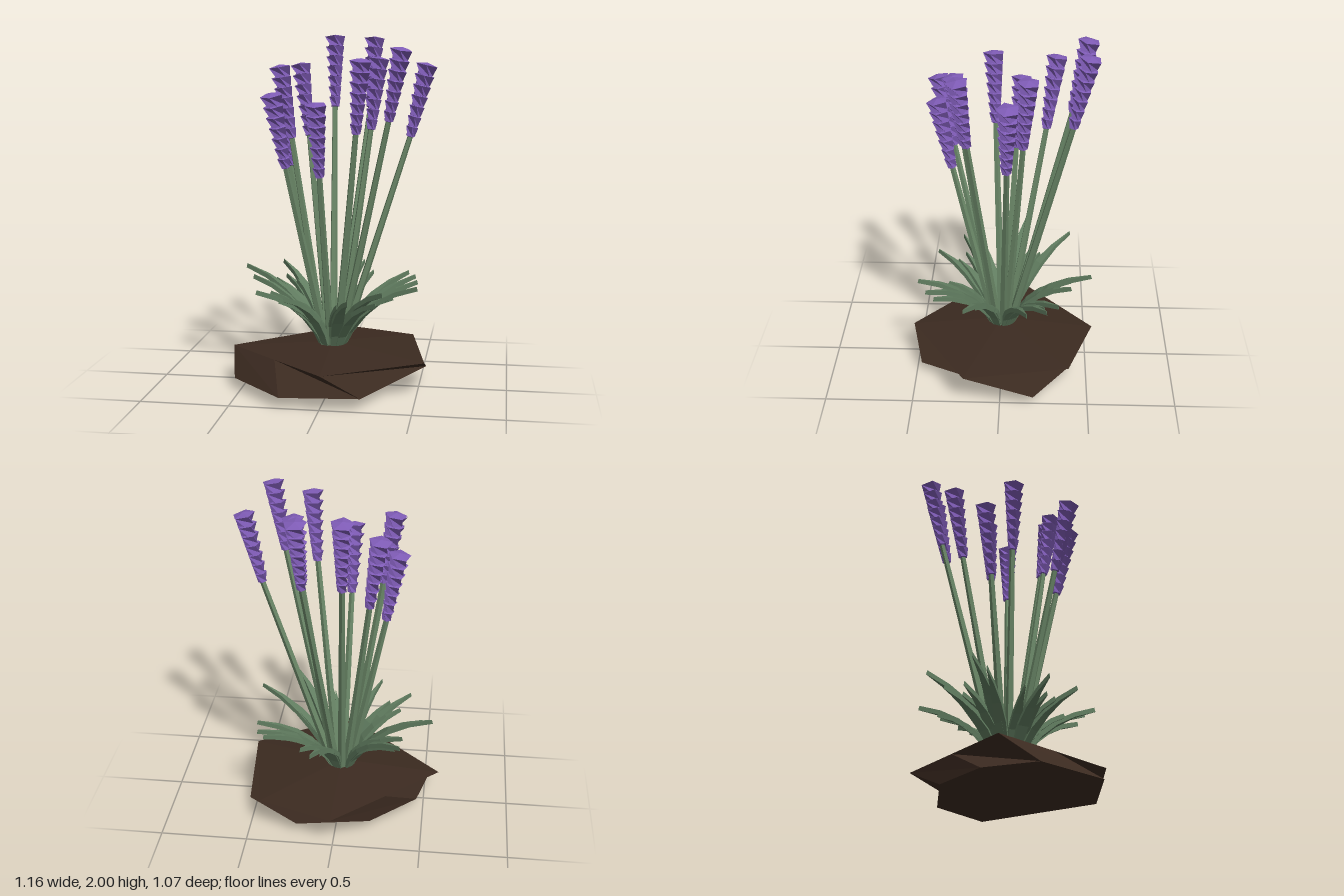
import * as THREE from 'three';

const mat = (name, color, side = THREE.FrontSide) => {
  const m = new THREE.MeshStandardMaterial({ color, flatShading: true, side });
  m.name = name;
  return m;
};
const V = (x, y, z) => new THREE.Vector3(x, y, z);
const UP = V(0, 1, 0);

// Flower spikes: bottom [x, y, z] and tip [x, y, z]
const FLOWERS = [
  [-0.045, 1.57, -0.38, -0.055, 2.0, -0.465],
  [0.165, 1.57, -0.38, 0.182, 1.99, -0.465],
  [-0.175, 1.41, -0.24, -0.235, 1.84, -0.3],
  [-0.255, 1.25, -0.07, -0.325, 1.68, -0.105],
  [0.2, 1.46, -0.115, 0.245, 1.88, -0.145],
  [0.43, 1.43, -0.035, 0.525, 1.85, -0.045],
  [-0.225, 1.42, 0.045, -0.29, 1.84, 0.055],
  [0.33, 1.53, 0.175, 0.405, 1.94, 0.217],
  [0.155, 1.46, 0.2, 0.19, 1.88, 0.25],
  [-0.03, 1.23, 0.28, -0.037, 1.65, 0.36],
  [-0.215, 1.28, 0.28, -0.275, 1.7, 0.37],
];

// Leaf tips [x, y, z]
const LEAVES = [
  [-0.365, 0.63, -0.4], [-0.33, 0.56, -0.31], [-0.37, 0.56, -0.2], [-0.535, 0.65, -0.14],
  [-0.48, 0.6, -0.07], [-0.25, 0.55, -0.22], [0.12, 0.62, -0.515], [0.08, 0.56, -0.4],
  [0.19, 0.58, -0.4], [0.41, 0.6, -0.325], [0.455, 0.59, -0.26], [0.475, 0.58, -0.15],
  [0.36, 0.55, -0.25], [0.5, 0.62, 0.2], [0.36, 0.55, 0.14], [0.33, 0.63, 0.42],
  [0.29, 0.56, 0.38], [0.15, 0.59, 0.48], [0.07, 0.53, 0.31], [-0.21, 0.58, 0.39],
  [-0.17, 0.54, 0.27], [-0.395, 0.58, 0.25], [-0.34, 0.55, 0.12], [-0.27, 0.53, 0.23],
];

// Faceted mound: two twisted rings closed by a low point above and below
function soilGeometry() {
  const upper = [[0.01, -0.535], [0.435, -0.39], [0.545, 0.205], [0.01, 0.53], [-0.29, 0.265], [-0.585, 0], [-0.285, -0.27]];
  const lower = [[-0.2, -0.34], [0.22, -0.41], [0.53, -0.19], [0.22, 0.47], [-0.22, 0.515], [-0.535, 0.205], [-0.46, -0.1]];
  const U = upper.map(([x, z]) => [x, 0.2, z]);
  const L = lower.map(([x, z]) => [x, 0.065, z]);
  const pos = [];
  for (let i = 0; i < 7; i++) {
    const j = (i + 1) % 7;
    pos.push(...U[i], ...U[j], ...L[i], ...U[j], ...L[j], ...L[i]);
    pos.push(0, 0.25, 0, ...U[j], ...U[i], 0, 0, 0, ...L[i], ...L[j]);
  }
  const g = new THREE.BufferGeometry();
  g.setAttribute('position', new THREE.Float32BufferAttribute(pos, 3));
  g.computeVertexNormals();
  return g;
}

// Five-sided bud, low-capped and widest near the top, with its lower ring twisted
function budGeometry() {
  const profile = [[0, -1], [0.72, -0.75], [1, 0.6], [0, 0.95]].map(([r, y]) => new THREE.Vector2(r, y));
  const g = new THREE.LatheGeometry(profile, 5);
  const p = g.attributes.position;
  const v = V(0, 0, 0);
  for (let i = 0; i < p.count; i++) {
    v.fromBufferAttribute(p, i);
    if (v.y < 0) v.applyAxisAngle(UP, Math.PI / 5);
    p.setXYZ(i, v.x, v.y, v.z);
  }
  g.computeVertexNormals();
  return g;
}

// Blade that rises steeply, arches outward and narrows to a point
function leafGeometry(reach, height) {
  const g = new THREE.BoxGeometry(1, 0.026, 1, 1, 1, 5);
  const p = g.attributes.position;
  for (let i = 0; i < p.count; i++) {
    const u = p.getZ(i) + 0.5;
    const t = p.getY(i);
    const span = reach - 0.045, rise = height - 0.2;
    const r = 0.045 + span * (0.55 * u + 0.45 * u * u);
    const y = 0.2 + rise * (1.55 * u - 0.55 * u * u);
    const dr = span * (0.55 + 0.9 * u), dy = rise * (1.55 - 1.1 * u);
    const len = Math.hypot(dr, dy);
    const width = u < 0.45 ? 0.04 + 0.06 * u : 0.067 * (1 - u) / 0.55 + 0.002;
    p.setXYZ(i, p.getX(i) * width, y + t * dr / len, r - t * dy / len);
  }
  g.computeVertexNormals();
  return g;
}

export function createModel() {
  const model = new THREE.Group();
  const soilMat = mat('soil brown', 0x3b2a20, THREE.DoubleSide);
  const stemMat = mat('stem green', 0x6b8868);
  const leafMat = mat('leaf green', 0x617d60);
  const petalMat = mat('petal purple', 0x7e5bb5);

  const soil = new THREE.Mesh(soilGeometry(), soilMat);
  soil.name = 'soil';
  model.add(soil);

  const bud = budGeometry();
  FLOWERS.forEach(([bx, by, bz, tx, ty, tz]) => {
    const flower = new THREE.Group();
    flower.name = 'flower';
    const bottom = V(bx, by, bz), tip = V(tx, ty, tz);

    // Tapered stem from the centre of the mound to the spike
    const root = V(bx, 0, bz).normalize().multiplyScalar(0.045).setY(0.2);
    const dir = bottom.clone().sub(root);
    const length = dir.length() + 0.03;
    dir.normalize();
    const stem = new THREE.Mesh(new THREE.CylinderGeometry(0.016, 0.024, length, 5, 1, false, Math.PI / 5), stemMat);
    stem.name = 'stem';
    stem.position.copy(root).addScaledVector(dir, length / 2);
    stem.quaternion.setFromUnitVectors(UP, dir);
    flower.add(stem);

    // Stacked buds growing larger towards the tip
    const axis = tip.clone().sub(bottom);
    const spike = axis.length();
    axis.normalize();
    const tiers = 7, rLow = 0.036, rHigh = 0.063, half = 0.04;
    for (let i = 0; i < tiers; i++) {
      const f = i / (tiers - 1);
      const r = rLow + (rHigh - rLow) * f;
      const mesh = new THREE.Mesh(bud, petalMat);
      mesh.name = 'bud';
      mesh.scale.set(r, half, r);
      mesh.position.copy(bottom).addScaledVector(axis, half + (spike - 2 * half) * f);
      mesh.quaternion.setFromUnitVectors(UP, axis);
      flower.add(mesh);
    }
    model.add(flower);
  });

  // Arching leaves around the base
  LEAVES.forEach(([x, y, z]) => {
    const leaf = new THREE.Mesh(leafGeometry(Math.hypot(x, z), y), leafMat);
    leaf.name = 'leaf';
    leaf.rotation.y = Math.atan2(x, z);
    model.add(leaf);
  });

  return model;
}
